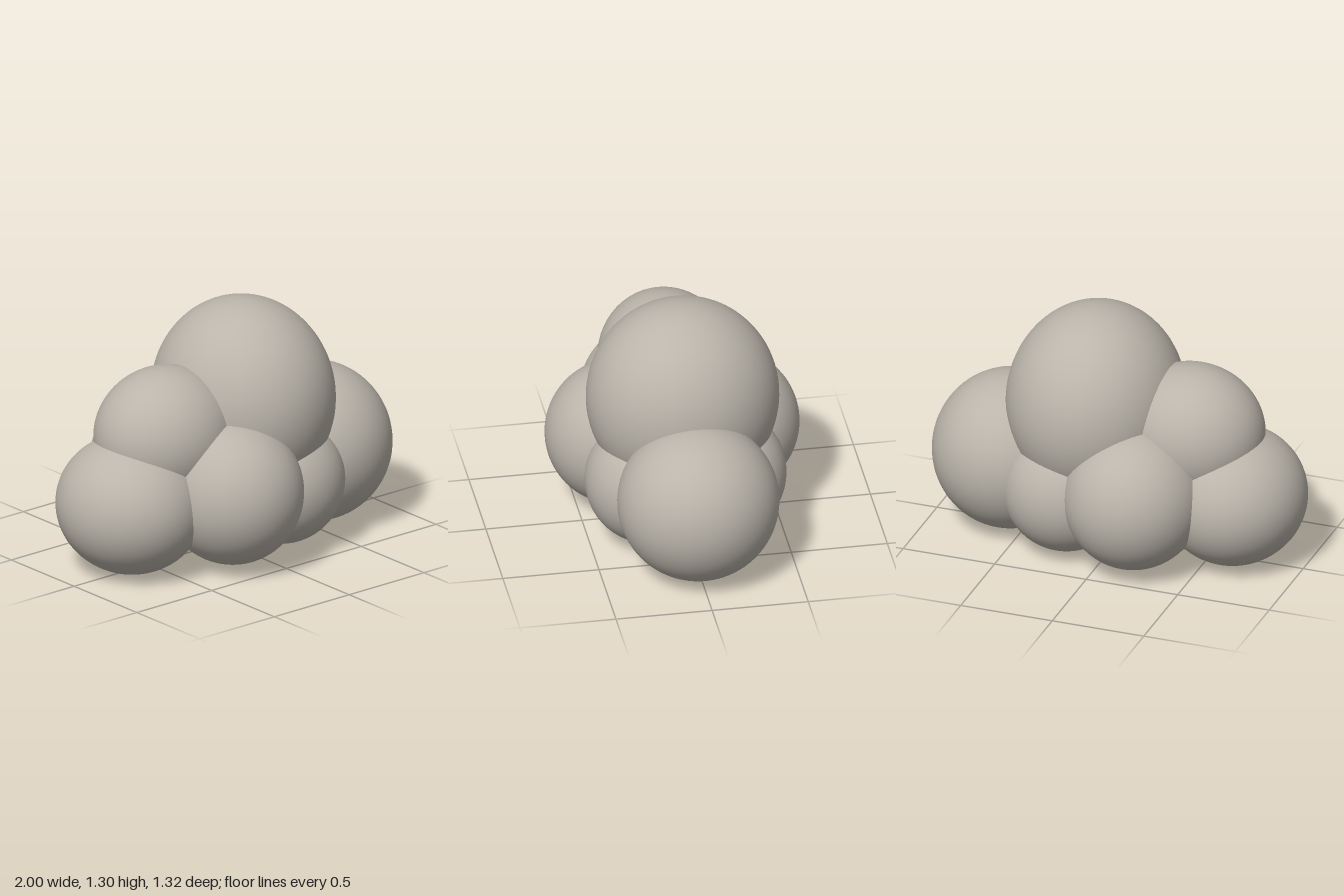
import * as THREE from 'three';

export function createModel() {
  const cloud = new THREE.Group();
  cloud.name = 'cloud';
  const cloudGrey = new THREE.MeshStandardMaterial({ color: 0xbab4aa });
  cloudGrey.name = 'warm grey';
  const ball = new THREE.SphereGeometry(1, 64, 48);

  // One rounded puff: centre and radii
  function puff(name, centre, radii) {
    const mesh = new THREE.Mesh(ball, cloudGrey);
    mesh.name = name;
    mesh.position.set(...centre);
    mesh.scale.set(...radii);
    cloud.add(mesh);
  }

  // Puffs along the middle
  puff('topPuff', [0.13, 0.775, 0], [0.46, 0.525, 0.497]);
  puff('upperRightPuff', [-0.39, 0.69, 0], [0.385, 0.355, 0.345]);
  puff('leftEndPuff', [0.595, 0.417, 0], [0.405, 0.417, 0.416]);
  puff('rightEndPuff', [-0.62, 0.362, 0], [0.38, 0.362, 0.397]);

  // Mirrored puffs on the front and back
  for (const [side, s] of [['front', 1], ['back', -1]]) {
    puff(side + 'LargePuff', [-0.18, 0.405, 0.28 * s], [0.365, 0.38, 0.378]);
    puff(side + 'SmallPuff', [0.22, 0.35, 0.2 * s], [0.33, 0.333, 0.32]);
  }
  return cloud;
}
